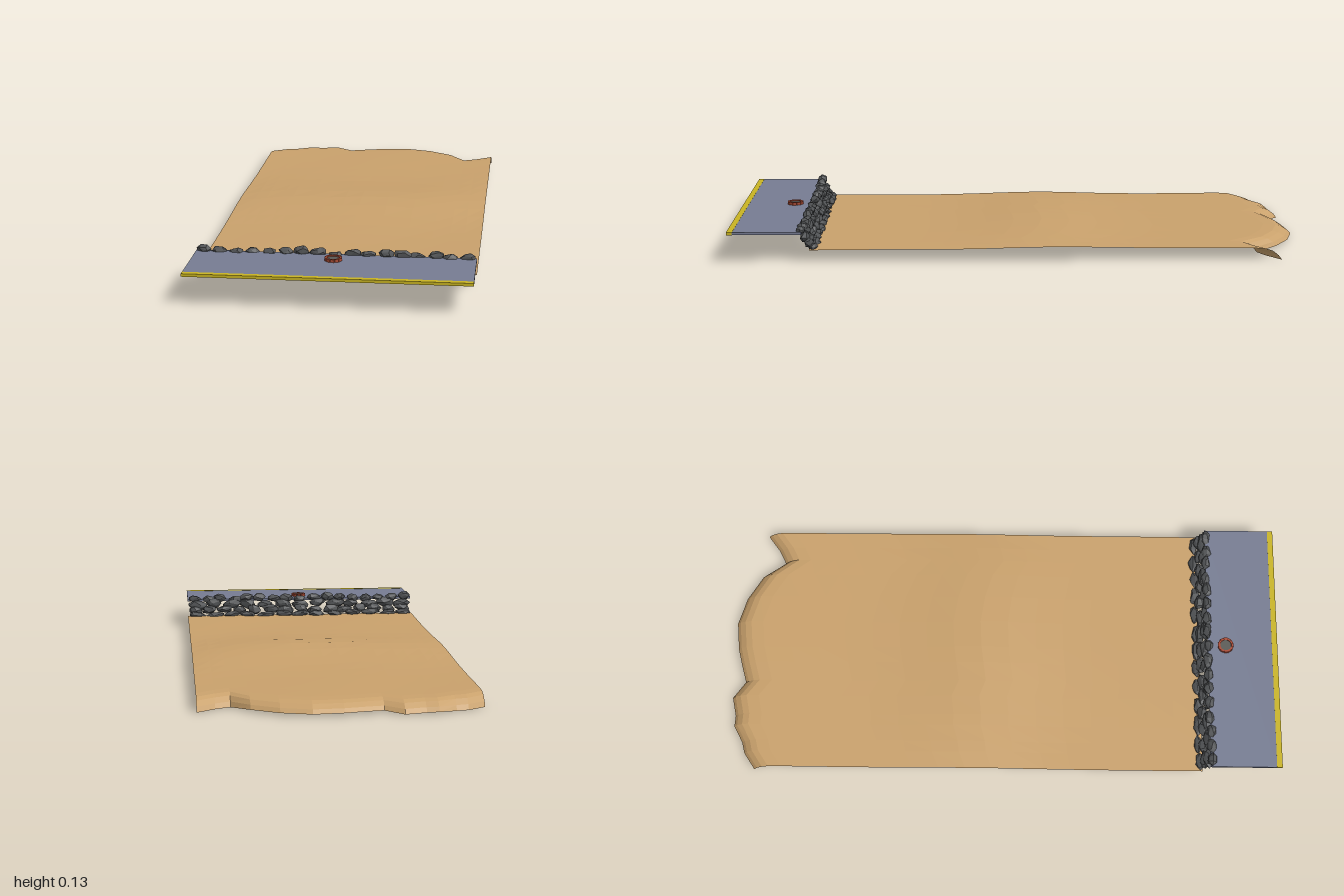
import * as THREE from 'three';
import { ConvexGeometry } from 'three/addons/geometries/ConvexGeometry.js';

const mat = (name, color, opts = {}) => {
  const m = new THREE.MeshStandardMaterial({ color, ...opts });
  m.name = name;
  return m;
};

function seeded(seed) {
  return () => {
    seed = (seed * 16807) % 2147483647;
    return seed / 2147483647;
  };
}

// Ragged shoreline: x, z, y of the lower lip
const SHORE = [
  [-0.46, -0.905, 0.004], [-0.40, -0.945, 0.004], [-0.36, -0.955, 0.004], [-0.30, -0.987, 0.009],
  [-0.26, -0.985, 0.007], [-0.19, -1.0, 0.006], [-0.13, -0.955, 0.010], [-0.06, -0.975, 0.012],
  [0.0, -0.99, 0.012], [0.10, -1.0, 0.012], [0.20, -0.97, 0.012], [0.29, -0.915, 0.012],
  [0.35, -0.835, 0.004], [0.40, -0.86, 0.004], [0.46, -0.905, 0.004],
];

// Gentle dune rising in the middle of the beach
function duneHeight(x, z) {
  const bell = Math.exp(-(((z + 0.09) / 0.23) ** 2));
  const across = 1 - (x / 0.46) ** 2;
  return 0.047 + bell * (0.007 + 0.02 * across) + 0.0012 * Math.sin(x * 9 + z * 7);
}

function makeSand(material) {
  const cols = SHORE.length, inland = 16;
  // Lip rows: distance inland from the shoreline and share of the drop
  const lip = [[0, 1], [0.012, 0.62], [0.032, 0.25], [0.055, 0.06], [0.1, 0]];
  const rows = lip.length + inland;
  const geo = new THREE.PlaneGeometry(1, 1, cols - 1, rows - 1);
  const pos = geo.attributes.position;
  for (let r = 0; r < rows; r++) {
    for (let c = 0; c < cols; c++) {
      const [x, edge, low] = SHORE[c];
      let z, y;
      if (r < lip.length) {
        z = edge + lip[r][0];
        y = THREE.MathUtils.lerp(duneHeight(x, z), low, lip[r][1]);
      } else {
        const t = (r - lip.length + 1) / inland;
        z = THREE.MathUtils.lerp(edge + 0.1, 0.72, t);
        y = duneHeight(x, z);
      }
      pos.setXYZ(r * cols + c, x, y, z);
    }
  }
  geo.computeVertexNormals();
  const mesh = new THREE.Mesh(geo, material);
  mesh.name = 'sand';
  return mesh;
}

// Angular boulder: hull of points scattered on a flattened ball
function rockGeometry(rand, w, h, d) {
  const pts = [];
  const n = 18;
  for (let i = 0; i < n; i++) {
    const v = 1 - (2 * (i + 0.5)) / n;
    const a = i * 2.4 + rand() * 0.9;
    const s = Math.sqrt(1 - v * v), k = 0.86 + rand() * 0.2;
    pts.push(new THREE.Vector3(Math.cos(a) * s * k * w / 2, v * k * h / 2, Math.sin(a) * s * k * d / 2));
  }
  return new ConvexGeometry(pts);
}

function makeRocks(material) {
  const group = new THREE.Group();
  group.name = 'rockWall';
  const rand = seeded(4711);
  // Rows from the top of the bank to the beach: y, z, count, height
  const rows = [[0.112, 0.746, 17, 0.034], [0.09, 0.739, 13, 0.04], [0.068, 0.724, 15, 0.038], [0.052, 0.709, 13, 0.03]];
  for (const [y, z, count, height] of rows) {
    const step = 0.92 / count;
    for (let i = 0; i < count; i++) {
      const w = step * (0.95 + rand() * 0.3), h = height * (0.85 + rand() * 0.35);
      const rock = new THREE.Mesh(rockGeometry(rand, w, h, 0.032 + rand() * 0.01), material);
      const x = -0.46 + step * (i + 0.5) + (rand() - 0.5) * 0.012;
      const reach = 0.46 - w / 2;
      rock.position.set(THREE.MathUtils.clamp(x, -reach, reach), y + (rand() - 0.5) * 0.01, z + (rand() - 0.5) * 0.008);
      rock.rotation.set((rand() - 0.5) * 0.6, 0, (rand() - 0.5) * 0.4);
      rock.name = 'rock';
      group.add(rock);
    }
  }
  return group;
}

// Small ring of bricks around a grate
function makeFirePit(brick, iron) {
  const group = new THREE.Group();
  group.name = 'firePit';
  const count = 12;
  for (let i = 0; i < count; i++) {
    const a = (i / count) * Math.PI * 2;
    const block = new THREE.Mesh(new THREE.BoxGeometry(0.0125, 0.01, 0.008), brick);
    block.position.set(Math.sin(a) * 0.024, 0.005, Math.cos(a) * 0.024);
    block.rotation.y = a;
    block.name = 'brick';
    group.add(block);
  }
  const grate = new THREE.Mesh(new THREE.CylinderGeometry(0.021, 0.021, 0.006, 16), iron);
  grate.position.y = 0.003;
  grate.name = 'grate';
  group.add(grate);
  group.position.set(0, 0.111, 0.81);
  return group;
}

export function createModel() {
  const group = new THREE.Group();
  group.name = 'beachSection';

  const sand = mat('sand', 0xc9a16c, { side: THREE.DoubleSide, flatShading: true });
  const asphalt = mat('asphalt', 0x767c92);
  const stone = mat('stone', 0x505254, { flatShading: true });
  const yellow = mat('yellowPaint', 0xc9b422);
  const brick = mat('brick', 0xa84a34);
  const iron = mat('iron', 0x5a5a56);

  group.add(makeSand(sand), makeRocks(stone), makeFirePit(brick, iron));

  // Promenade slab and its yellow front edge
  const slab = new THREE.Mesh(new THREE.BoxGeometry(0.92, 0.009, 0.235), asphalt);
  slab.position.set(0, 0.1065, 0.8625);
  slab.name = 'promenade';
  const edge = new THREE.Mesh(new THREE.BoxGeometry(0.92, 0.01, 0.02), yellow);
  edge.position.set(0, 0.1065, 0.99);
  edge.name = 'edgeStripe';
  group.add(slab, edge);

  return group;
}
